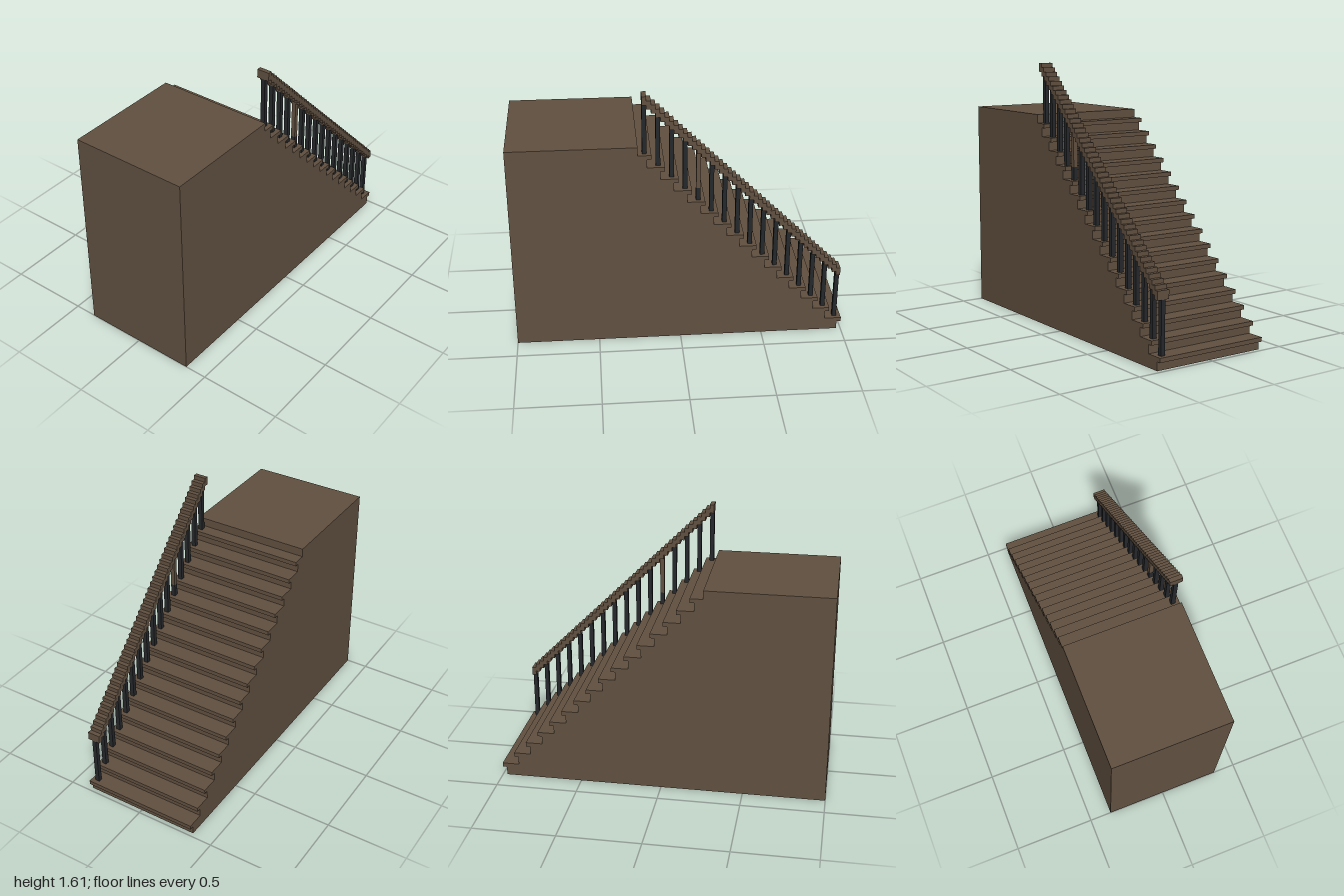
import * as THREE from 'three';

const U = 2 / 77;          // grid unit shared by every part
const STEPS = 16;
const DEPTH = 28;          // staircase width in units
const X = (c) => c * U - 1;

export function createModel() {
  const model = new THREE.Group();
  const wood = new THREE.MeshStandardMaterial({ color: 0x615040 });
  wood.name = 'brown wood';
  const iron = new THREE.MeshStandardMaterial({ color: 0x25282b });
  iron.name = 'dark iron';

  // Extrudes a side profile, given in units, between two z positions
  function extrudeProfile(name, points, z0, z1) {
    const shape = new THREE.Shape(points.map(([c, r]) => new THREE.Vector2(X(c), r * U)));
    const geometry = new THREE.ExtrudeGeometry(shape, { depth: (z1 - z0) * U, bevelEnabled: false });
    geometry.translate(0, 0, z0 * U);
    const mesh = new THREE.Mesh(geometry, wood);
    mesh.name = name;
    model.add(mesh);
  }

  // Solid staircase: each step is a riser with a tread that overhangs by one unit
  const stairs = [[0, 0]];
  for (let i = 0; i < STEPS; i++) {
    const front = 77 - 3 * i, base = 3 * i;
    stairs.push([front - 1, base], [front - 1, base + 2], [front, base + 2], [front, base + 3]);
  }
  stairs.push([29, 48], [29, 50], [0, 50]);
  extrudeProfile('staircase', stairs, -DEPTH / 2, DEPTH / 2);

  // Handrail: descends one unit per column, two units thick
  const top = [], under = [];
  for (let c = 30; c < 76; c++) {
    top.push([c, 92 - c], [c + 1, 92 - c]);
    under.push([c, 90 - c], [c + 1, 90 - c]);
  }
  extrudeProfile('handrail', [...under, ...top.reverse()], DEPTH / 2 - 3, DEPTH / 2);

  // Balusters: one per tread, under the middle of the rail
  function baluster(name, column, bottom, height, material) {
    const mesh = new THREE.Mesh(new THREE.BoxGeometry(U, height * U, U), material);
    mesh.position.set(X(column + 0.5), (bottom + height / 2) * U, (DEPTH / 2 - 1.5) * U);
    mesh.name = name;
    model.add(mesh);
  }
  for (let i = 0; i < STEPS; i++) {
    const column = 75 - 3 * i, bottom = 3 * (i + 1);
    if (i === 11) {
      // One baluster is wooden above a short iron foot
      baluster('balusterFoot', column, bottom, 3, iron);
      baluster('woodenBaluster', column, bottom + 3, 9, wood);
    } else {
      baluster('baluster', column, bottom, 12, iron);
    }
  }
  return model;
}
